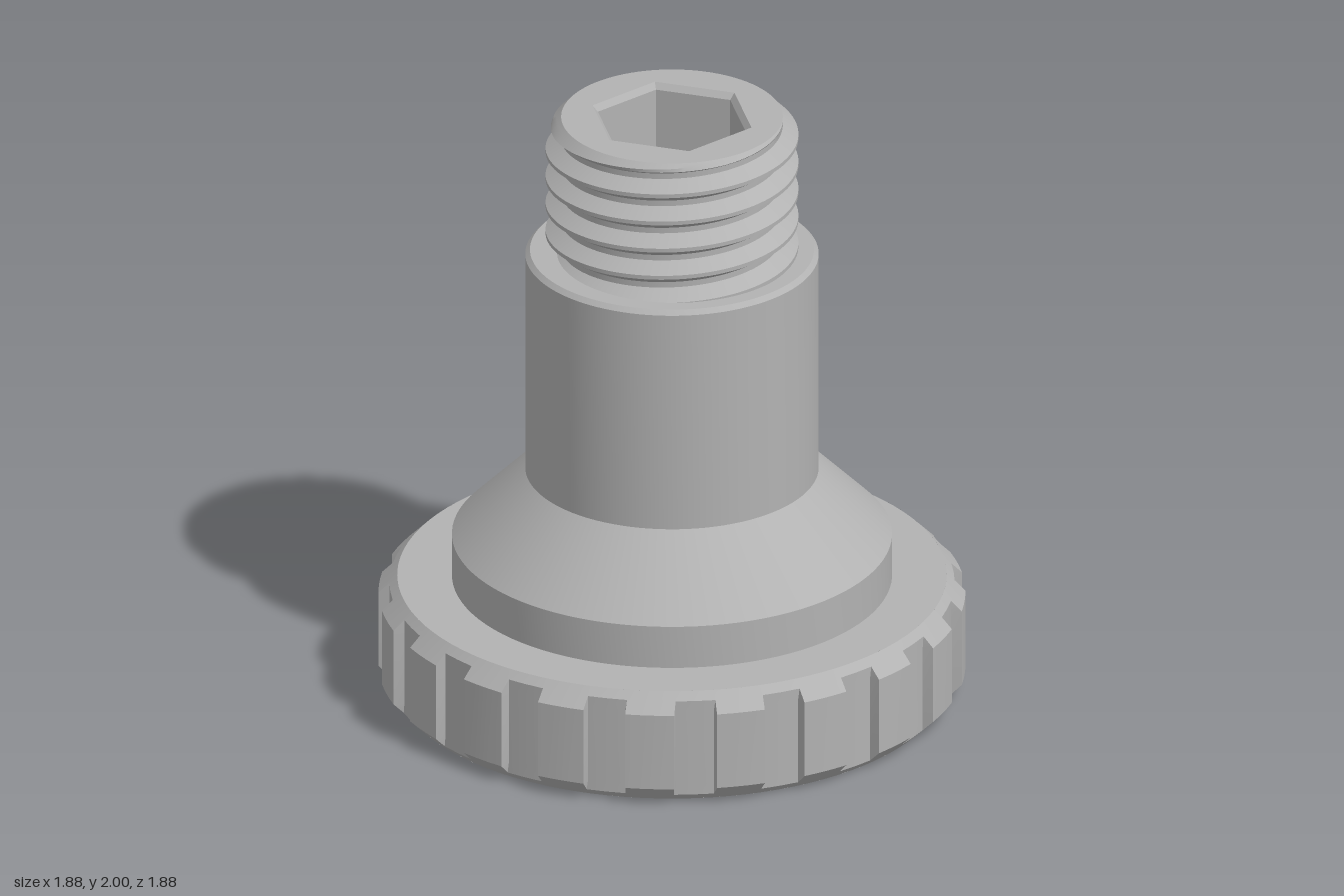
import * as THREE from 'three';
import { toCreasedNormals } from 'three/addons/utils/BufferGeometryUtils.js';

const RAD = Math.PI / 180;
const SEG = 96;
const HEX_TURN = 2 * RAD;

// Surface wrapped round the y axis: fn(angle, row) returns [radius, y], rows run upwards
function wrap(angles, rows, fn) {
  const pos = [], index = [], w = angles.length;
  for (let j = 0; j < rows; j++) {
    for (const a of angles) {
      const [r, y] = fn(a, j);
      pos.push(r * Math.cos(a), y, -r * Math.sin(a));
    }
  }
  const Y = (k) => pos[k * 3 + 1];
  for (let j = 0; j < rows - 1; j++) {
    for (let i = 0; i < w - 1; i++) {
      const a = j * w + i, b = a + 1, c = b + w, d = a + w;
      if (Y(a) === Y(c) && Y(b) === Y(d) && Y(a) === Y(b)) continue; // trimmed away
      index.push(a, b, c, a, c, d);
    }
  }
  const g = new THREE.BufferGeometry();
  g.setAttribute('position', new THREE.Float32BufferAttribute(pos, 3));
  g.setIndex(index);
  return toCreasedNormals(g, 0.45);
}

function lathe(points) {
  const g = new THREE.LatheGeometry(points.map(([r, y]) => new THREE.Vector2(r, y)), SEG);
  return toCreasedNormals(g, 0.45);
}

// Flat disc with a hexagonal hole
function hexDisc(radius, hexRadius, up) {
  const shape = new THREE.Shape().absarc(0, 0, radius, 0, Math.PI * 2);
  const pts = [];
  for (let k = 0; k < 6; k++) {
    const a = k * 60 * RAD + (up ? HEX_TURN : -HEX_TURN);
    pts.push(new THREE.Vector2(hexRadius * Math.cos(a), hexRadius * Math.sin(a)));
  }
  shape.holes.push(new THREE.Path(pts));
  return new THREE.ShapeGeometry(shape, SEG / 2).rotateX(up ? -Math.PI / 2 : Math.PI / 2);
}

// Grip rim: 20 shallow teeth cut by conical chamfers
function gripRim() {
  const angles = [], radii = new Map();
  const offsets = [[-5.1, 0.905], [-4.8, 0.94], [-1.6, 0.94], [1.6, 0.94], [4.8, 0.94], [5.1, 0.905], [9, 0.905]];
  for (let k = 0; k <= 20; k++) {
    for (const [o, r] of offsets) {
      const a = (k * 18 + 9.8 + o) * RAD;
      angles.push(a);
      radii.set(a, r);
      if (k === 20) break;
    }
  }
  const ys = [0, 0.025, 0.06, 0.32, 0.355, 0.38];
  return wrap(angles, ys.length, (a, j) => {
    const y = ys[j];
    return [Math.min(radii.get(a), 0.88 + y, 0.88 + 0.38 - y), y];
  });
}

// Right-handed screw thread, trimmed at both ends and chamfered at the top
function screwThread() {
  const pitch = 0.096, root = 0.355, crest = 0.405, low = 1.525, high = 2;
  const steps = [-0.4, -0.29, -0.18, -0.07, 0.07, 0.18, 0.29, 0.4];
  const angles = Array.from({ length: SEG + 1 }, (_, i) => (i / SEG) * Math.PI * 2);
  return wrap(angles, steps.length * 8, (a, j) => {
    const turn = Math.floor(j / steps.length) - 6;
    const start = 1.942 + pitch * a / (Math.PI * 2);
    const y = THREE.MathUtils.clamp(start + pitch * (turn + steps[j % steps.length]), low, high);
    let t = (y - start) / pitch;
    t = Math.abs(t - Math.round(t));
    const r = root + (crest - root) * THREE.MathUtils.clamp((0.4 - t) / 0.33, 0, 1);
    return [Math.min(r, root + high - y), y];
  });
}

export function createModel() {
  const group = new THREE.Group();
  const steel = new THREE.MeshStandardMaterial({ color: 0xb2b2b2, side: THREE.DoubleSide });
  steel.name = 'steelGrey';
  const add = (name, geometry, y = 0) => {
    const mesh = new THREE.Mesh(geometry, steel);
    mesh.name = name;
    mesh.position.y = y;
    group.add(mesh);
  };

  // Knob underside with two ring grooves
  add('underside', lathe([[0.39, 0], [0.39, 0.015], [0.41, 0.015], [0.41, 0],
    [0.7, 0], [0.71, 0.04], [0.74, 0.04], [0.755, 0], [0.88, 0]]));
  add('undersideCentre', hexDisc(0.39, 0.25, false));
  add('gripRim', gripRim());

  // Collar, cone, shank and shoulder
  add('shank', lathe([[0.88, 0.38], [0.705, 0.38], [0.705, 0.525], [0.47, 0.76],
    [0.47, 1.515], [0.455, 1.53], [0.34, 1.53]]));

  // Threaded end with a hexagonal bore right through
  add('screwThread', screwThread());
  add('topFace', hexDisc(0.355, 0.268, true), 2);
  const hexTube = (top, bottom, height) => toCreasedNormals(
    new THREE.CylinderGeometry(top, bottom, height, 6, 1, true, HEX_TURN + Math.PI / 2), 0.3);
  add('boreChamfer', hexTube(0.268, 0.25, 0.02), 1.99);
  add('hexBore', hexTube(0.25, 0.25, 1.98), 0.99);
  return group;
}
